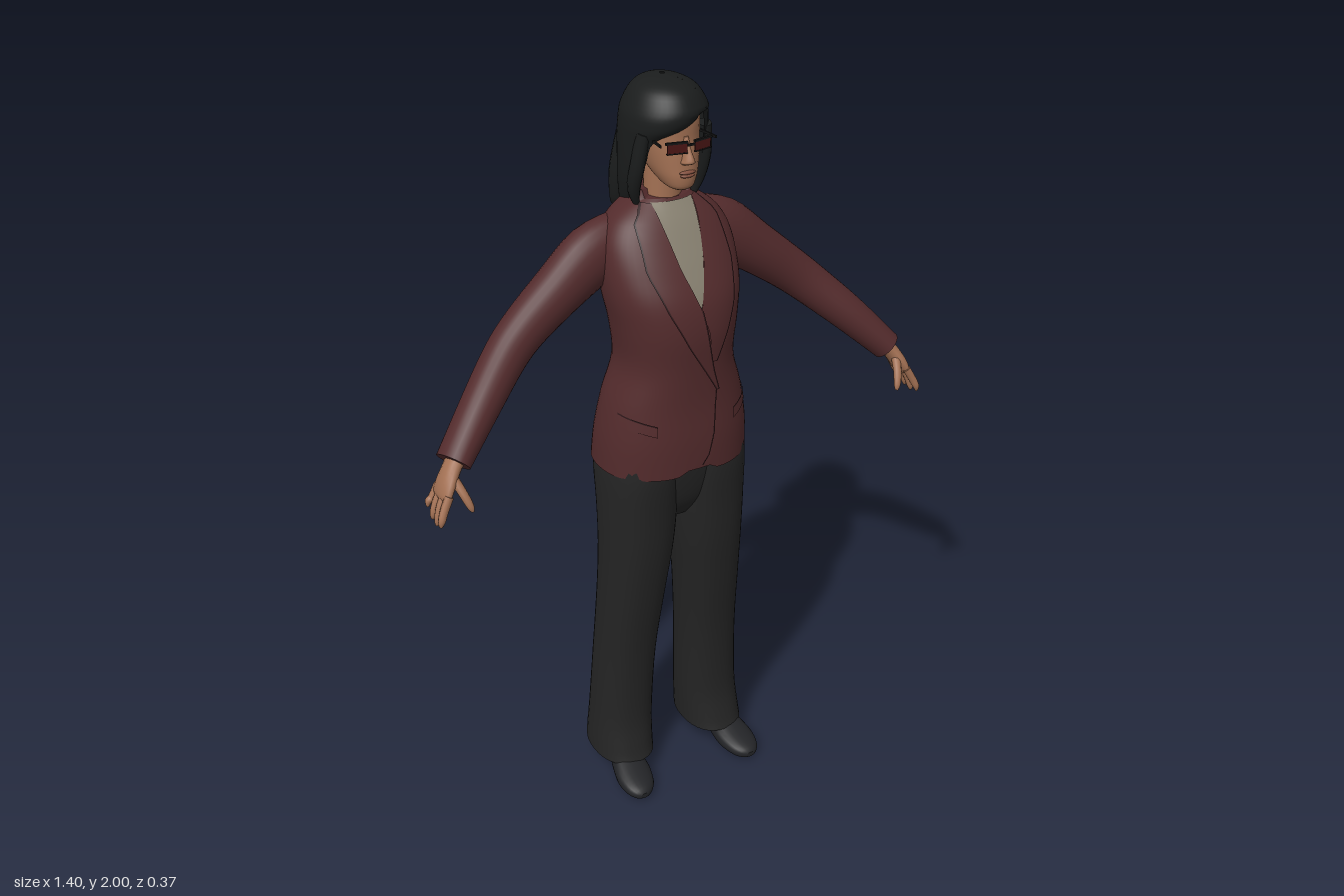
import * as THREE from 'three';

const mat = (name, color, side = THREE.FrontSide) => {
  const m = new THREE.MeshStandardMaterial({ color, side });
  m.name = name;
  return m;
};

// Catmull-Rom refinement of a table of section rows
function refine(rows, sub = 4) {
  const out = [];
  for (let i = 0; i < rows.length - 1; i++) {
    const [p, a, b, q] = [rows[Math.max(i - 1, 0)], rows[i], rows[i + 1], rows[Math.min(i + 2, rows.length - 1)]];
    for (let k = 0; k < sub; k++) {
      const t = k / sub;
      out.push(a.map((v, c) => 0.5 * (2 * v + (b[c] - p[c]) * t + (2 * p[c] - 5 * v + 4 * b[c] - q[c]) * t * t
        + (3 * v - p[c] - 3 * b[c] + q[c]) * t * t * t)));
    }
  }
  out.push(rows[rows.length - 1]);
  return out;
}

// Linear lookup in a table sorted by rising first column
function look(table, y) {
  let i = 0;
  while (i < table.length - 2 && table[i + 1][0] < y) i++;
  const a = table[i], b = table[i + 1];
  const t = Math.min(1, Math.max(0, (y - a[0]) / (b[0] - a[0])));
  return a.map((v, c) => v + (b[c] - v) * t);
}

// Surface through rows of Vector3; closed rings get flat end caps and outward faces
function skin(rows, closed = true) {
  const n = rows[0].length, pos = [], idx = [];
  rows.flat().forEach(p => pos.push(p.x, p.y, p.z));
  for (let r = 0; r < rows.length - 1; r++) {
    for (let j = 0; j < (closed ? n : n - 1); j++) {
      const a = r * n + j, b = r * n + (j + 1) % n, c = a + n, d = b + n;
      idx.push(a, c, b, b, c, d);
    }
  }
  if (closed) {
    [0, rows.length - 1].forEach((r, end) => {
      const base = pos.length / 3, mid = new THREE.Vector3();
      rows[r].forEach(p => { pos.push(p.x, p.y, p.z); mid.addScaledVector(p, 1 / n); });
      pos.push(mid.x, mid.y, mid.z);
      for (let j = 0; j < n; j++) {
        const a = base + j, b = base + (j + 1) % n;
        idx.push(...(end ? [a, base + n, b] : [b, base + n, a]));
      }
    });
    const v = i => new THREE.Vector3().fromArray(pos, i * 3);
    let vol = 0;
    for (let i = 0; i < idx.length; i += 3) vol += v(idx[i]).dot(v(idx[i + 1]).cross(v(idx[i + 2])));
    if (vol < 0) idx.reverse();
  }
  const g = new THREE.BufferGeometry();
  g.setAttribute('position', new THREE.Float32BufferAttribute(pos, 3));
  g.setIndex(idx);
  g.computeVertexNormals();
  return g;
}

const ring = (n, f) => Array.from({ length: n }, (_, j) => f(j / n * Math.PI * 2));
const pw = (v, e) => Math.sign(v) * Math.abs(v) ** e;

// Upright body from rows [y, centreX, halfWidth, zFront, zBack]
const upright = (rows, p = 2.2, n = 32, bend = q => q) => skin(rows.map(([y, x, rx, zf, zb], i) =>
  ring(n, a => bend(new THREE.Vector3(x + rx * pw(Math.cos(a), 2 / p), y,
    (zf + zb) / 2 + (zf - zb) / 2 * pw(Math.sin(a), 2 / p)), i))));

// Limb along rows [x, y, z, radius in the frontal plane, radius in depth]
function limb(rows, n = 16, sub = 4) {
  const r = refine(rows, sub), v = k => new THREE.Vector3(...r[k].slice(0, 3));
  return skin(r.map((row, i) => {
    const t = v(Math.min(i + 1, r.length - 1)).sub(v(Math.max(i - 1, 0))).normalize();
    const u = t.clone().cross(new THREE.Vector3(0, 0, 1)).normalize(), w = u.clone().cross(t);
    return ring(n, a => v(i).addScaledVector(u, row[3] * Math.cos(a)).addScaledVector(w, row[4] * Math.sin(a)));
  }));
}

export function createModel() {
  const D = THREE.DoubleSide;
  const jacket = mat('jacket maroon', 0x532b2c, D), seam = mat('seam dark', 0x2c1618, D);
  const pants = mat('trouser black', 0x242424), hair = mat('hair black', 0x1b1d1d, D);
  const flesh = mat('skin', 0xa27053), shirt = mat('shirt grey', 0x878070, D);
  const shoe = mat('shoe black', 0x222326), lens = mat('lens red', 0x4a1614), frame = mat('frame black', 0x141414);
  const lips = mat('lips', 0x83503f);
  const model = new THREE.Group();
  const add = (name, geo, m, parent = model) => {
    const mesh = new THREE.Mesh(geo, m);
    mesh.name = name;
    parent.add(mesh);
    return mesh;
  };

  // Jacket body, with a small cutaway at the hem and a raised back collar
  const P = 2.3;
  const torso = refine([[1.01, 0, .205, .172, -.15], [1.1, 0, .2, .172, -.135], [1.2, 0, .182, .166, -.115],
    [1.3, 0, .152, .168, -.102], [1.4, 0, .16, .174, -.108], [1.48, 0, .174, .162, -.12], [1.55, 0, .178, .13, -.126],
    [1.61, 0, .17, .096, -.124], [1.655, 0, .145, .068, -.115], [1.685, 0, .108, .045, -.105], [1.705, 0, .07, .028, -.09]]);
  add('jacketBody', upright(torso, P, 56, (q, i) => {
    if (i === 0 && q.z > 0) q.y += .035 * Math.exp(-((q.x / .035) ** 2));
    if (i === torso.length - 1 && q.z < 0) q.y += .02;
    return q;
  }), jacket);

  // Thin pieces laid on the jacket front
  const front = (x, y, off) => {
    const [, , rx, zf, zb] = look(torso, y);
    const k = Math.max(0, 1 - Math.min(1, Math.abs(x / rx)) ** P) ** (1 / P);
    return new THREE.Vector3(x, y, (zf + zb) / 2 + (zf - zb) / 2 * k + off);
  };
  const patch = (f, off, nu = 8, nv = 24) => skin(Array.from({ length: nv + 1 }, (_, j) =>
    Array.from({ length: nu + 1 }, (_, i) => front(...f(i / nu, j / nv), off))), false);
  const strip = (name, table, m, off) => add(name, patch((u, v) => {
    const y0 = table[0][0], y = y0 + (table[table.length - 1][0] - y0) * v;
    const [, a, b] = look(table, y);
    return [a + (b - a) * u, y];
  }, off), m);
  const edge = (name, table, off) => strip(name, table.map(([y, x]) => [y, x - .002, x + .002]), seam, off);

  strip('shirtFront', [[1.465, 0, .002], [1.5, -.016, .016], [1.6, -.042, .042], [1.7, -.056, .056]], shirt, .004);
  const leftLapel = [[1.32, .03, .046], [1.4, .022, .08], [1.465, .002, .105], [1.56, .032, .122], [1.66, .051, .112], [1.7, .056, .075]];
  const rightLapel = [[1.24, .048, .054], [1.3, .012, .036], [1.37, -.032, .02], [1.465, -.08, .002], [1.56, -.114, -.032],
    [1.66, -.112, -.051], [1.7, -.075, -.056]];
  strip('leftLapel', leftLapel, jacket, .006);
  strip('rightLapel', rightLapel, jacket, .009);
  edge('leftLapelEdge', leftLapel.map(r => [r[0], r[2]]), .0075);
  edge('rightLapelEdge', rightLapel.map(r => [r[0], r[1]]), .0105);
  edge('rightLapelFold', rightLapel.slice(0, 4).map(r => [r[0], r[2]]), .0105);
  edge('closingEdge', [[1.035, .008], [1.06, .026], [1.12, .042], [1.24, .051]], .003);
  for (const s of [-1, 1]) {
    add('pocketFlap', patch((u, v) => [s * (.11 + .07 * u), 1.135 + .022 * u + .028 * v], .004, 8, 2), jacket);
    add('pocketSeam', patch((u, v) => [s * (.11 + .07 * u), 1.162 + .022 * u + .004 * v], .0055, 8, 1), seam);
  }

  // Neck and roll collar
  const tube = (name, r0, r1, y0, y1, z, m) =>
    add(name, new THREE.CylinderGeometry(r1, r0, y1 - y0, 24), m).position.set(0, (y0 + y1) / 2, z);
  tube('rollCollar', .058, .052, 1.6, 1.695, -.022, shirt);
  tube('neck', .047, .045, 1.66, 1.8, -.018, flesh);
  const roll = add('collarRoll', new THREE.TorusGeometry(.047, .008, 8, 28).rotateX(Math.PI / 2), shirt);
  roll.position.set(0, 1.692, -.022);

  // Limbs are built on the left and mirrored
  const pelvis = refine([[.84, 0, .06, .08, -.05], [.9, 0, .13, .115, -.075], [1.0, 0, .17, .135, -.105], [1.1, 0, .17, .14, -.1]]);
  add('trouserSeat', upright(pelvis), pants);
  const leg = refine([[.06, .146, .085, .1, -.126], [.1, .144, .085, .088, -.124], [.2, .138, .084, .072, -.112], [.4, .129, .083, .08, -.097],
    [.6, .117, .088, .106, -.083], [.75, .107, .095, .125, -.08], [.88, .102, .1, .135, -.09], [1.0, .1, .1, .145, -.112],
    [1.1, .095, .09, .14, -.11]]);
  const footRows = refine([[-.115, .152, .014, .1, .075], [-.095, .152, .03, .112, .055], [-.05, .154, .036, .11, .045], [.01, .158, .038, .095, .027],
    [.06, .163, .046, .078, .004], [.11, .168, .052, .06, 0], [.155, .172, .044, .045, 0], [.18, .174, .028, .034, .003],
    [.19, .175, .012, .024, .009]], 3);
  for (const s of [1, -1]) {
    const side = new THREE.Group();
    side.name = s > 0 ? 'leftLimbs' : 'rightLimbs';
    side.scale.x = s;
    model.add(side);
    add('trouserLeg', upright(leg, 2.3), pants, side);
    add('shoe', skin(footRows.map(([z, x, w, t, b]) => ring(20, a => new THREE.Vector3(
      x + w * pw(Math.cos(a), .85), (t + b) / 2 + (t - b) / 2 * pw(Math.sin(a), .85), z)))), shoe, side);
    add('heel', new THREE.CylinderGeometry(.025, .01, .07, 14), shoe, side).position.set(.152, .035, -.074);
    add('sleeve', limb([[.09, 1.6, -.05, .07, .055], [.18, 1.567, -.045, .079, .062], [.28, 1.497, -.038, .067, .06],
      [.375, 1.425, -.028, .059, .055], [.44, 1.37, -.008, .055, .053], [.53, 1.287, .042, .049, .051],
      [.628, 1.188, .094, .04, .05]], 24), jacket, side);
    add('palm', limb([[.61, 1.208, .088, .022, .03], [.635, 1.178, .1, .02, .03], [.655, 1.148, .109, .019, .038],
      [.668, 1.122, .113, .015, .041], [.672, 1.112, .114, .008, .036]], 16, 3), flesh, side);
    [[.078, .079, 1.078], [.101, .106, 1.058], [.124, .133, 1.054], [.146, .158, 1.062]].forEach(([z0, z1, tip]) =>
      add('finger', limb([[.664, 1.13, z0, .011, .011], [.682, 1.098, (z0 + z1) / 2, .0105, .0105],
        [.692, tip + .014, z1, .009, .009], [.695, tip, z1, .004, .004]], 10, 3), flesh, side));
    add('thumb', limb([[.643, 1.165, .12, .012, .013], [.631, 1.132, .15, .011, .011], [.621, 1.102, .166, .009, .009],
      [.617, 1.088, .17, .004, .004]], 10, 3), flesh, side);
  }

  // Head and face
  add('head', upright(refine([[1.743, 0, .018, .088, .045], [1.752, 0, .034, .1, .015], [1.775, 0, .049, .104, -.03], [1.8, 0, .059, .102, -.06],
    [1.835, 0, .067, .099, -.085], [1.865, 0, .07, .096, -.1], [1.92, 0, .07, .094, -.105], [1.96, 0, .05, .065, -.08]]), 2.2), flesh);
  add('nose', upright(refine([[1.808, 0, .012, .104, .08], [1.815, 0, .017, .122, .08], [1.823, 0, .014, .126, .08],
    [1.845, 0, .009, .113, .08], [1.875, 0, .007, .1, .08]], 3), 2, 14), flesh);
  [[1.79, .022], [1.782, .019]].forEach(([y, w]) => {
    const m = add('lip', new THREE.SphereGeometry(1, 14, 8), lips);
    m.scale.set(w, .005, .008);
    m.position.set(0, y, .102);
  });

  // Spectacles
  const box = (name, m, w, h, d, x, y, z, turn = 0) => {
    const b = add(name, new THREE.BoxGeometry(w, h, d), m);
    b.position.set(x, y, z);
    b.rotation.y = turn;
  };
  box('bridge', frame, .02, .005, .005, 0, 1.862, .118);
  for (const s of [-1, 1]) {
    box('lens', lens, .048, .022, .004, s * .034, 1.856, .112, s * .22);
    box('topRim', frame, .054, .005, .007, s * .035, 1.869, .112, s * .22);
    box('lowerRim', frame, .05, .003, .006, s * .034, 1.844, .112, s * .22);
    box('templeArm', frame, .004, .006, .09, s * .069, 1.865, .062, s * .1);
  }

  // Hair shell, open at the face with a swept fringe: [y, halfWidth, zFront, zBack, angle to right, angle to left]
  const shell = refine([[1.995, .006, -.01, -.025, 3.78, 2.5], [1.987, .045, .045, -.07, 3.78, 2.5], [1.967, .077, .085, -.1, 3.78, 2.5],
    [1.927, .1, .109, -.122, 3.76, 2.48], [1.895, .106, .112, -.128, 3.14, 2.38], [1.86, .107, .108, -.132, 2.35, 2.3],
    [1.8, .105, .1, -.136, 2.15, 2.15], [1.74, .1, .075, -.138, 1.95, 1.95], [1.68, .088, .04, -.142, 1.65, 1.65],
    [1.645, .07, .0, -.146, 1.3, 1.3]]);
  add('hairShell', skin(shell.map(([y, rx, zf, zb, ar, al]) => Array.from({ length: 49 }, (_, j) => {
    const t = j / 48, a = -ar + (ar + al) * t, e = y < 1.925 ? 1 - .13 * Math.abs(2 * t - 1) ** 8 : 1;
    return new THREE.Vector3(rx * e * Math.sin(a), y, (zf + zb) / 2 - (zf - zb) / 2 * e * Math.cos(a));
  })), false), hair);

  // Loose locks down the back and beside the face
  [[0, 1.575, -.178, 0], [-.03, 1.6, -.165, -.035], [.03, 1.59, -.17, .035], [-.055, 1.635, -.15, -.05], [.055, 1.625, -.155, .05]].forEach(
    ([x, y, z, x0]) => add('backLock', limb([[x0, 1.84, -.1, .03, .02], [x0 * 1.1, 1.74, -.118, .036, .026],
      [(x0 + x) / 2, 1.66, -.132, .03, .02], [x, y, z, .004, .003]], 10), hair));
  for (const s of [-1, 1]) {
    add('sideLock', limb([[s * .082, 1.88, .04, .016, .02], [s * .09, 1.8, .025, .016, .022],
      [s * .088, 1.73, .0, .014, .02], [s * .072, 1.675, -.005, .003, .004]], 10), hair);
  }
  return model;
}
